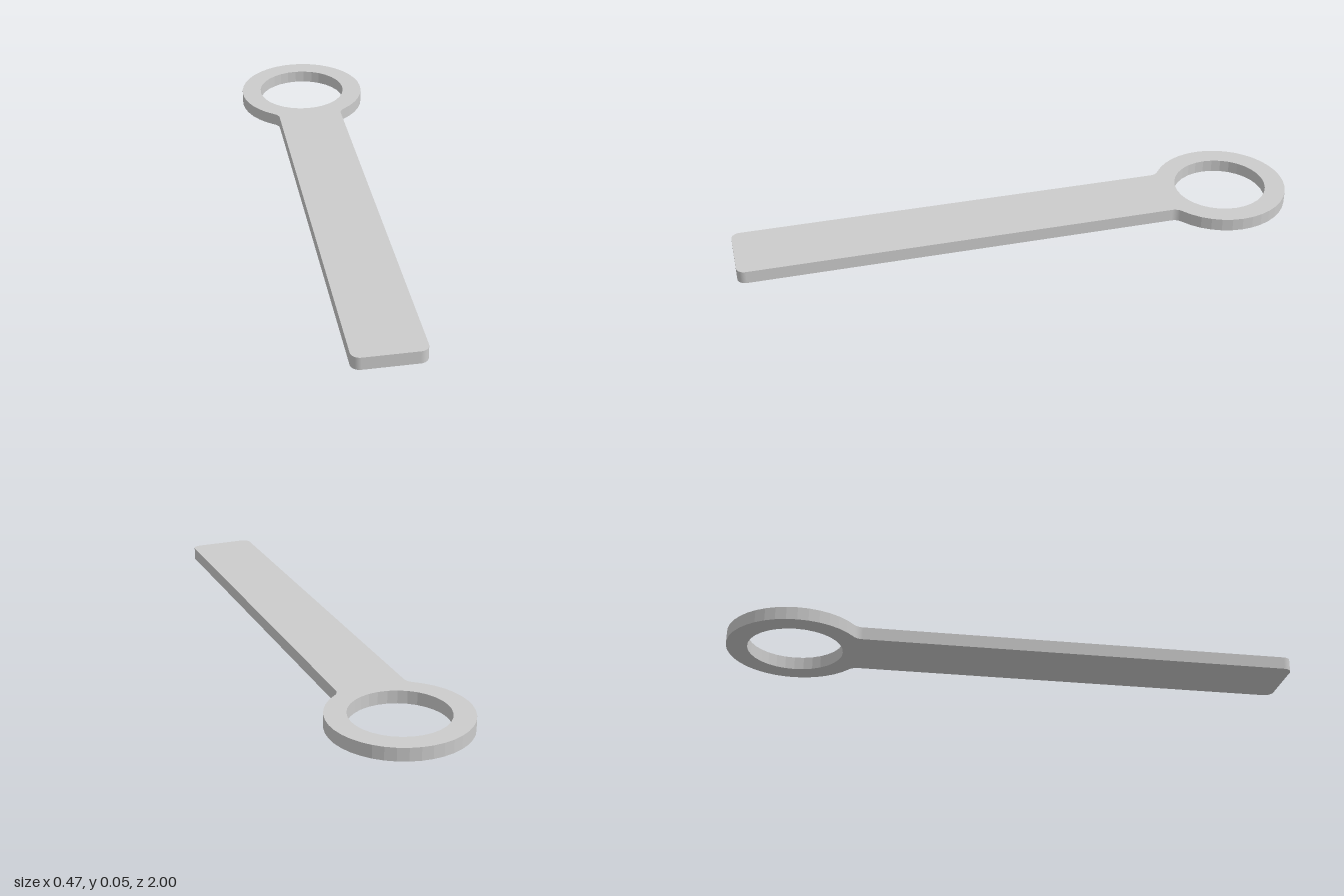
import * as THREE from 'three';

const THICKNESS = 0.045;
const HALF_WIDTH = 0.12;   // handle
const CORNER = 0.03;       // rounded handle end
const FILLET = 0.04;       // blend between handle and ring
const RING_R = 0.237;
const HOLE_R = 0.165;
const RING_Y = 1 - RING_R; // ring centre in the outline plane (y = -z)

export function createModel() {
  const group = new THREE.Group();
  const w = HALF_WIDTH, c = CORNER;

  // Fillet centres touch both the handle side and the ring
  const fx = w + FILLET;
  const dy = Math.sqrt((RING_R + FILLET) ** 2 - fx ** 2);
  const fy = RING_Y - dy;
  const a = Math.atan2(dy, fx);

  // Outline: rounded end, right side, ring, left side
  const outline = new THREE.Shape();
  outline.moveTo(-w + c, -1);
  outline.lineTo(w - c, -1);
  outline.absarc(w - c, -1 + c, c, -Math.PI / 2, 0, false);
  outline.lineTo(w, fy);
  outline.absarc(fx, fy, FILLET, Math.PI, Math.PI - a, true);
  outline.absarc(0, RING_Y, RING_R, -a, Math.PI + a, false);
  outline.absarc(-fx, fy, FILLET, a, 0, true);
  outline.lineTo(-w, -1 + c);
  outline.absarc(-w + c, -1 + c, c, Math.PI, Math.PI * 1.5, false);

  // Round opening in the ring
  const hole = new THREE.Path();
  hole.absarc(0, RING_Y, HOLE_R, 0, Math.PI * 2, true);
  outline.holes.push(hole);

  // Lay the plate flat on the ground, ring to the back
  const geometry = new THREE.ExtrudeGeometry(outline, {
    depth: THICKNESS, bevelEnabled: false, curveSegments: 16,
  });
  geometry.rotateX(-Math.PI / 2);

  const plate = new THREE.Mesh(geometry, new THREE.MeshStandardMaterial({ color: 0xcccccc }));
  plate.name = 'handleWithRing';
  group.add(plate);
  return group;
}
